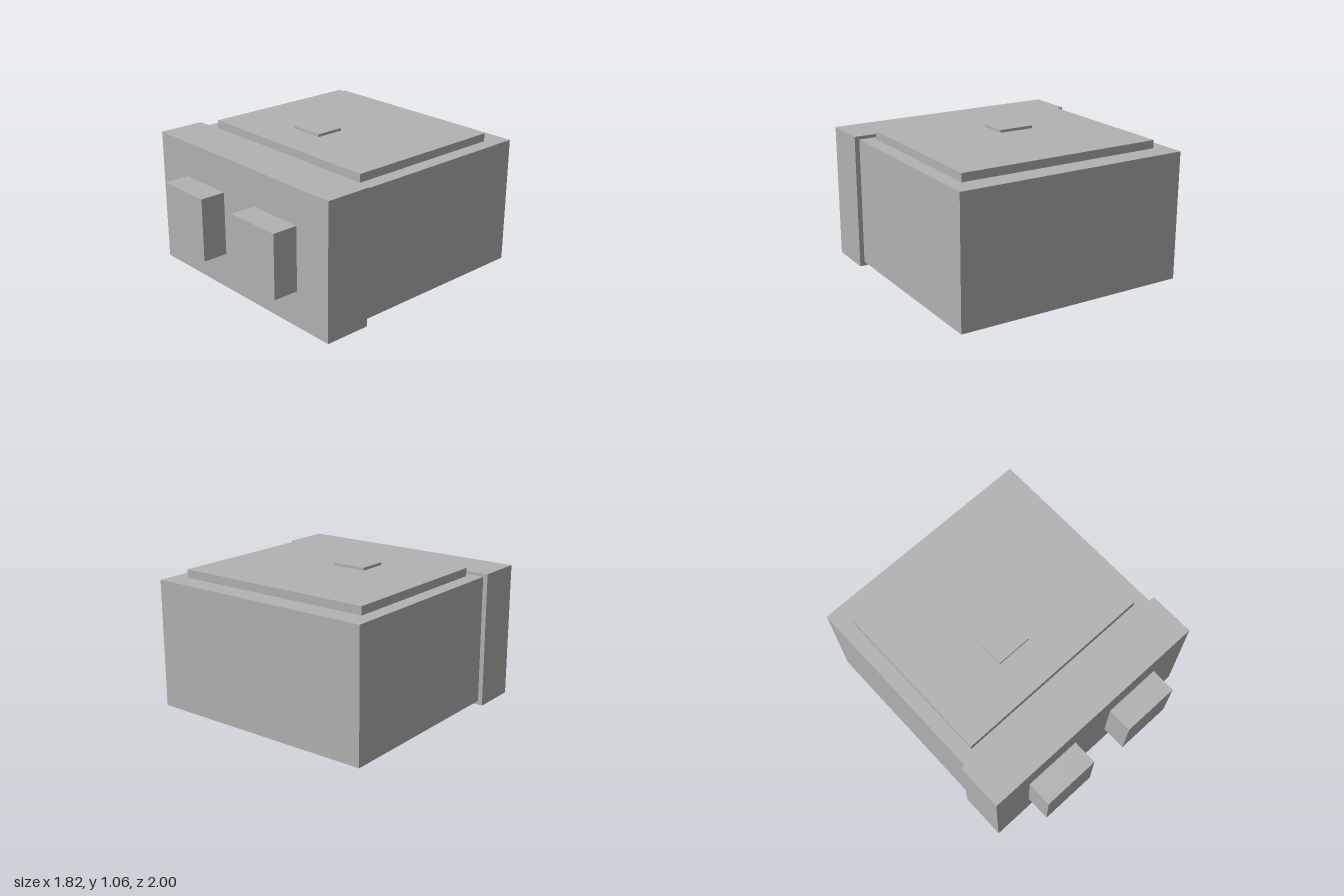
import * as THREE from 'three';

const grey = new THREE.MeshStandardMaterial({ color: 0xb2b2b2 });
grey.name = 'grey';

// Box given by its extents along each axis
function block(name, [x0, x1], [y0, y1], [z0, z1]) {
  const mesh = new THREE.Mesh(new THREE.BoxGeometry(x1 - x0, y1 - y0, z1 - z0), grey);
  mesh.position.set((x0 + x1) / 2, (y0 + y1) / 2, (z0 + z1) / 2);
  mesh.name = name;
  return mesh;
}

export function createModel() {
  const model = new THREE.Group();
  model.name = 'connectorHousing';
  model.add(
    // main housing and the slightly larger collar at its front
    block('body', [-0.877, 0.877], [0.03, 0.976], [-1, 0.462]),
    block('frontCollar', [-0.912, 0.912], [0, 1], [0.462, 0.81]),
    // raised panel on top with a small off-centre tab
    block('topPanel', [-0.77, 0.77], [0.976, 1.036], [-0.838, 0.405]),
    block('topTab', [-0.238, 0.032], [1.036, 1.056], [-0.108, 0.107])
  );
  // pair of plugs on the front
  model.add(
    block('rightPlug', [-0.608, -0.17], [0.267, 0.737], [0.81, 1]),
    block('leftPlug', [0.168, 0.606], [0.267, 0.737], [0.81, 1])
  );
  return model;
}
